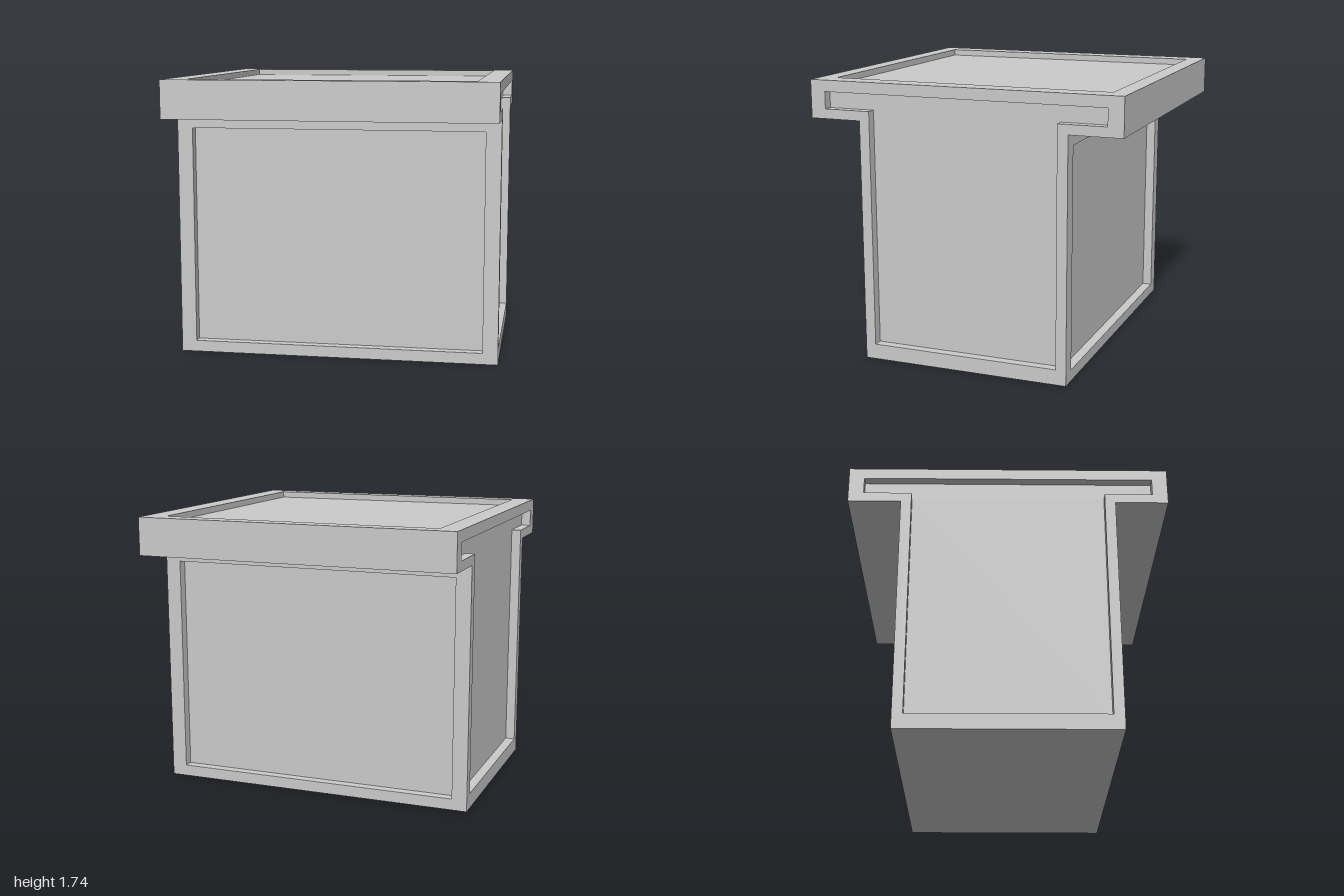
import * as THREE from 'three';
import { mergeGeometries } from 'three/addons/utils/BufferGeometryUtils.js';

const material = new THREE.MeshStandardMaterial({ color: 0xcccccc, flatShading: true });
const points = (list) => list.map(([x, y]) => new THREE.Vector2(x, y));
const rect = (w, y0, y1) => points([[-w, y0], [w, y0], [w, y1], [-w, y1]]);

// Counter-clockwise T outline: narrow stem, wide cap
const tee = (stem, cap, y0, y1, y2) => points([
  [-stem, y0], [stem, y0], [stem, y1], [cap, y1],
  [cap, y2], [-cap, y2], [-cap, y1], [-stem, y1],
]);

// Flat face looking along +z, optionally with a pocket sunk into it
function face(outline, pocket, depth) {
  const shape = new THREE.Shape(outline);
  const parts = [];
  if (pocket) {
    shape.holes.push(new THREE.Path(pocket));
    parts.push(new THREE.ShapeGeometry(new THREE.Shape(pocket)).translate(0, 0, -depth).toNonIndexed());
    const walls = [];
    pocket.forEach((p, i) => {
      const q = pocket[(i + 1) % pocket.length];
      walls.push(p.x, p.y, 0, q.x, q.y, 0, q.x, q.y, -depth);
      walls.push(p.x, p.y, 0, q.x, q.y, -depth, p.x, p.y, -depth);
    });
    const wall = new THREE.BufferGeometry();
    wall.setAttribute('position', new THREE.Float32BufferAttribute(walls, 3));
    parts.push(wall);
  }
  parts.push(new THREE.ShapeGeometry(shape).toNonIndexed());
  parts.forEach((g) => {
    g.deleteAttribute('uv');
    g.computeVertexNormals();
  });
  return mergeGeometries(parts);
}

export function createModel() {
  const group = new THREE.Group();
  const STEM = 0.66, CAP = 0.985, LIP = 1.5, TOP = 1.735;

  const add = (name, geometry) => {
    const mesh = new THREE.Mesh(geometry, material);
    mesh.name = name;
    group.add(mesh);
  };

  // T-shaped ends with a matching T-shaped pocket
  const end = face(tee(STEM, CAP, 0, LIP, TOP), tee(0.595, 0.89, 0.095, 1.56, 1.665), 0.06);
  add('leftEnd', end.clone().rotateY(Math.PI / 2).translate(1, 0, 0));
  add('rightEnd', end.clone().rotateY(-Math.PI / 2).translate(-1, 0, 0));

  // Front and back: sunken body panel, lid edge and lid underside
  const panel = face(rect(1, 0, LIP), rect(0.905, 0.07, 1.425), 0.06).translate(0, 0, STEM);
  const edge = face(rect(1, LIP, TOP)).translate(0, 0, CAP);
  const underside = face(rect(1, STEM, CAP)).rotateX(Math.PI / 2).translate(0, LIP, 0);
  for (const [side, turn] of [['front', 0], ['back', Math.PI]]) {
    add(side + 'Panel', panel.clone().rotateY(turn));
    add(side + 'LidEdge', edge.clone().rotateY(turn));
    add(side + 'LidUnderside', underside.clone().rotateY(turn));
  }

  // Lid top with a shallow tray, and the plain base
  add('lidTop', face(rect(1, -CAP, CAP), rect(0.868, -0.88, 0.88), 0.04)
    .rotateX(-Math.PI / 2).translate(0, TOP, 0));
  add('base', face(rect(1, -STEM, STEM)).rotateX(Math.PI / 2));

  return group;
}
